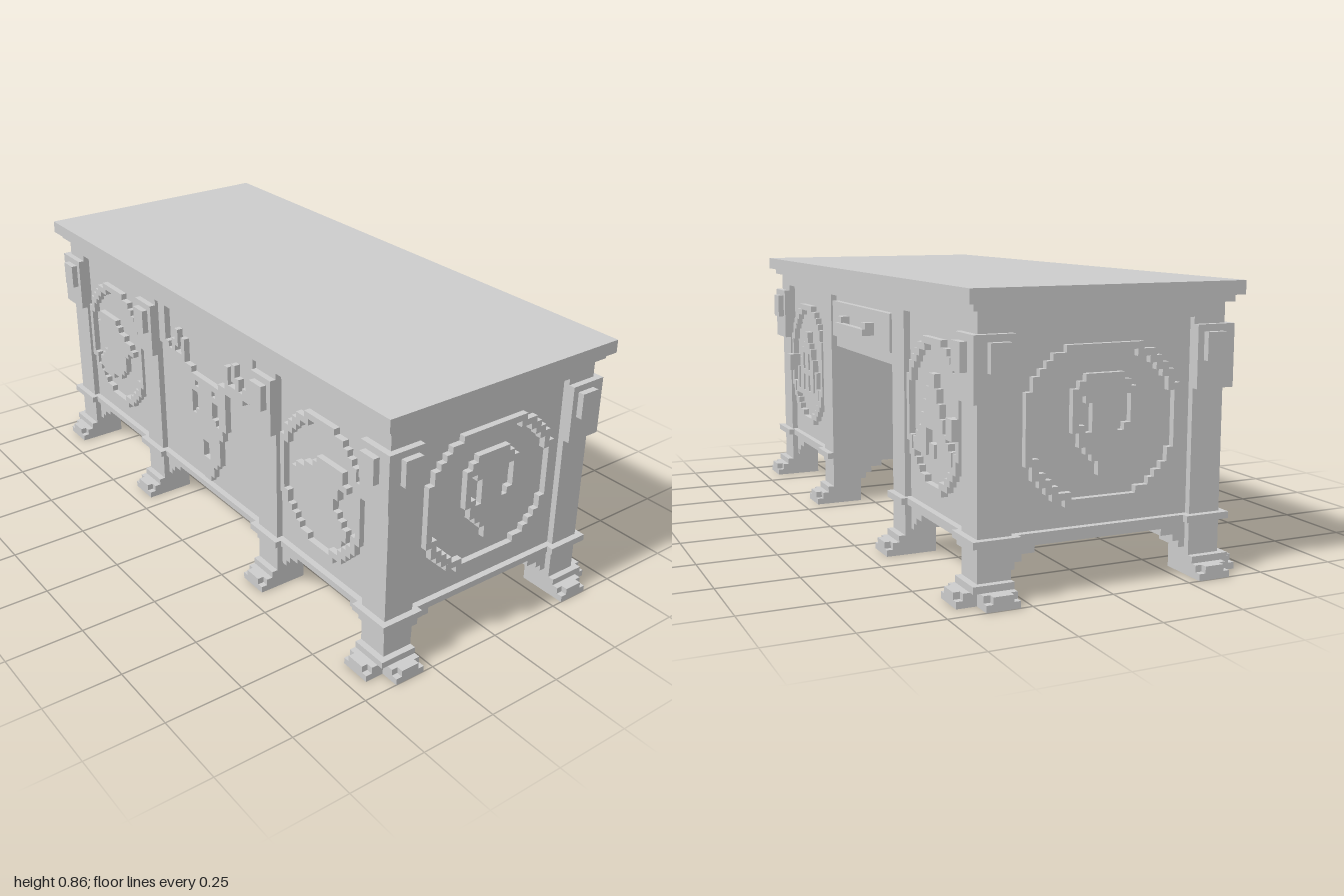
import * as THREE from 'three';
import { mergeGeometries } from 'three/addons/utils/BufferGeometryUtils.js';

const V = 2 / 98; // one block; all sizes below are in blocks
const material = new THREE.MeshStandardMaterial({ color: 0xcccccc, flatShading: true });

function boxGeometry(x0, x1, y0, y1, z0, z1) {
  const g = new THREE.BoxGeometry(x1 - x0, y1 - y0, z1 - z0);
  return g.translate((x0 + x1) / 2, (y0 + y1) / 2, (z0 + z1) / 2);
}

// Block pictures, top row first. Half pictures run from the centre outwards.
const mirrorRows = rows => rows.map(r => [...r].reverse().join('') + r);
const stag = mirrorRows([
  '............##', '............##', '............##', '........#...##', '......#.#...##',
  '......#.##..##', '......#..#.###', '......#######.', '....#######...', '######........',
  '##.###........', '######........', '##..##........', '##..##........', '##..##........',
  '###.##........', '#####.........', '#####.........', '####..........', '####..........',
  '.###..........', '.###..........', '.###..........', '###...........', '##............',
  '##............', '#.............']);
const skull = mirrorRows([
  '###..', '####.', '#####', '###.#', '##..#', '##..#', '##..#', '##.##', '####.', '####.',
  '###..', '##...', '#....', '#....']);
const beast = [
  '.######......', '.#######.....', '##########...', '..##########.', '..###########', '...########..',
  '...#######...', '..########...', '.#########...', '#########....', '########.....', '.####........'];
const hall = mirrorRows([
  '#......', '#......', '##.....', '###....', '#.#....', '#.##...', '#.##...', '####.#.',
  '#.##.#.', '#.##.#.', '#.##.##', '#######']);
const peak = mirrorRows([
  '#......', '#......', '##.....', '##.....', '###....', '###....', '####...', '####...',
  '..###..', '..####.', '#.#####', '#.#####']);

// One-block outline of a stepped oval, 22 rows high
function ringRows(halfWidth) {
  const cut = [6, 4, 3, 2, 1, 1];
  const half = r => halfWidth - (cut[Math.min(r, 21 - r)] ?? 0);
  const inside = (c, r) => r >= 0 && r < 22 && Math.abs(c + 0.5 - halfWidth) < half(r);
  const rows = [];
  for (let r = 0; r < 22; r++) {
    let s = '';
    for (let c = 0; c < halfWidth * 2; c++) {
      let core = true;
      for (let i = -1; i <= 1; i++) for (let j = -1; j <= 1; j++) core &&= inside(c + i, r + j);
      s += inside(c, r) && !core ? '#' : '.';
    }
    rows.push(s);
  }
  return rows;
}

// Raised relief: one box for each run of filled cells
function relief(name, rows, top, depth = 1) {
  const parts = [];
  rows.forEach((row, r) => {
    for (const m of row.matchAll(/#+/g)) {
      const x = m.index - row.length / 2;
      parts.push(boxGeometry(x, x + m[0].length, top - r - 1, top - r, -0.2, depth));
    }
  });
  const mesh = new THREE.Mesh(mergeGeometries(parts), material);
  mesh.name = name;
  return mesh;
}

export function createModel() {
  const model = new THREE.Group();
  model.name = 'desk';
  const box = (name, ...b) => {
    const mesh = new THREE.Mesh(boxGeometry(...b), material);
    mesh.name = name;
    model.add(mesh);
  };
  // Box given in the +x +z quarter, placed in the quarter of signs sx, sz
  const quarter = (sx, sz) => (name, x0, x1, y0, y1, z0, z1) => {
    const xs = [x0 * sx, x1 * sx].sort((a, b) => a - b);
    const zs = [z0 * sz, z1 * sz].sort((a, b) => a - b);
    box(name, ...xs, y0, y1, ...zs);
  };
  const place = (mesh, x, z, turn) => {
    mesh.position.set(x, 0, z);
    mesh.rotation.y = turn;
    model.add(mesh);
  };

  // Top, upper moulding and rail
  box('deskTop', -48, 48, 40, 42, -21, 21);
  box('topMoulding', -47, 47, 39, 40, -20, 20);
  box('topRail', -46, 46, 37, 39, -19, 19);

  // Centre: front panel, drawer case over the kneehole, drawer and handle
  box('frontPanel', -15, 15, 7, 38, 16, 18);
  box('centreMoulding', -15, 15, 8, 9, 17, 19);
  box('drawerCase', -15, 15, 28, 38, -18, 17);
  box('drawerFront', -14, 14, 30, 36, -19, -18);
  box('drawerHandle', -7, 7, 32, 33, -21, -20);
  for (const s of [-1, 1]) quarter(s, -1)('handleMount', 5, 7, 32, 34, 18, 20.5);

  for (const sx of [-1, 1]) {
    const side = quarter(sx, 1), back = quarter(sx, -1);
    side('pedestal', 15, 45, 7, 38, -18, 18);
    side('pedestalMoulding', 15, 46, 8, 9, -19, 19);
    back('doorKnob', 38, 40, 21, 24, 18, 20);

    for (const sz of [-1, 1]) {
      const q = quarter(sx, sz);
      // Posts with their mouldings
      q('cornerPost', 41, 46, 0, 39, 14, 19);
      q('innerPost', 15, 20, 0, 39, 14, 19);
      q('cornerPostMoulding', 40, 47, 8, 9, 13, 20);
      q('innerPostMoulding', sz > 0 ? 14 : 15, 21, 8, 9, 17, 20);

      // Post capitals and their raised blocks
      q('cornerCapital', 41, 47, 27, 36, 14, 20);
      q('capitalBlock', 42, 45, 31, 35, 19, 21);
      q('capitalBlock', 46, 48, 31, 35, 15, 18);
      if (sz > 0) {
        q('innerCapital', 15, 20, 27, 36, 19, 20);
        q('capitalBlock', 16, 19, 31, 35, 19, 21);
      }

      // Stepped brackets under the pedestals
      [1, 2, 4].forEach((e, i) => {
        q('cornerBracket', 41 - e, 45, 4 + i, 5 + i, 14 - e, 18);
        q('innerBracket', 15, 20 + e, 4 + i, 5 + i, 14 - e, 18);
        if (sz > 0) q('kneeholeBracket', 15 - e, 15, 4 + i, 5 + i, 16, 18);
      });

      // Stepped feet with toes
      for (const x of [15, 41]) {
        q('foot', x, x + 5, 0, 1, 18, 22);
        q('foot', x, x + 5, 1, 2, 18, 21);
        q('toe', x + 1, x + 4, 1, 2, 21, 22);
      }
      q('innerFootStep', 15, 20, 2, 3, 18, 20);
      q('cornerFootStep', 41, 47, 2, 3, 14, 20);
      q('sideFoot', 45, 49, 0, 1, 14, 19);
      q('sideFoot', 45, 48, 1, 2, 14, 19);
      q('sideToe', 48, 49, 1, 2, 15, 18);
    }

    // Medallions on the front, back and end panels
    const flipped = beast.map(r => [...r].reverse().join(''));
    place(relief('frontRing', ringRows(9.5), 34), sx * 30.5, 18, 0);
    place(relief('frontEmblem', sx < 0 ? beast : flipped, 28), sx * 30.5, 18, 0);
    place(relief('backRing', ringRows(9.5), 34), sx * 30.5, -18, Math.PI);
    place(relief('backEmblem', sx > 0 ? hall : peak, 29), sx * 30.5, -18, Math.PI);
    place(relief('endRing', ringRows(12), 34), sx * 45, 0, sx * Math.PI / 2);
    place(relief('endEmblem', skull, 30), sx * 45, 0, sx * Math.PI / 2);
  }
  place(relief('stagRelief', stag, 37), 0, 18, 0);

  model.scale.setScalar(V);
  return model;
}
